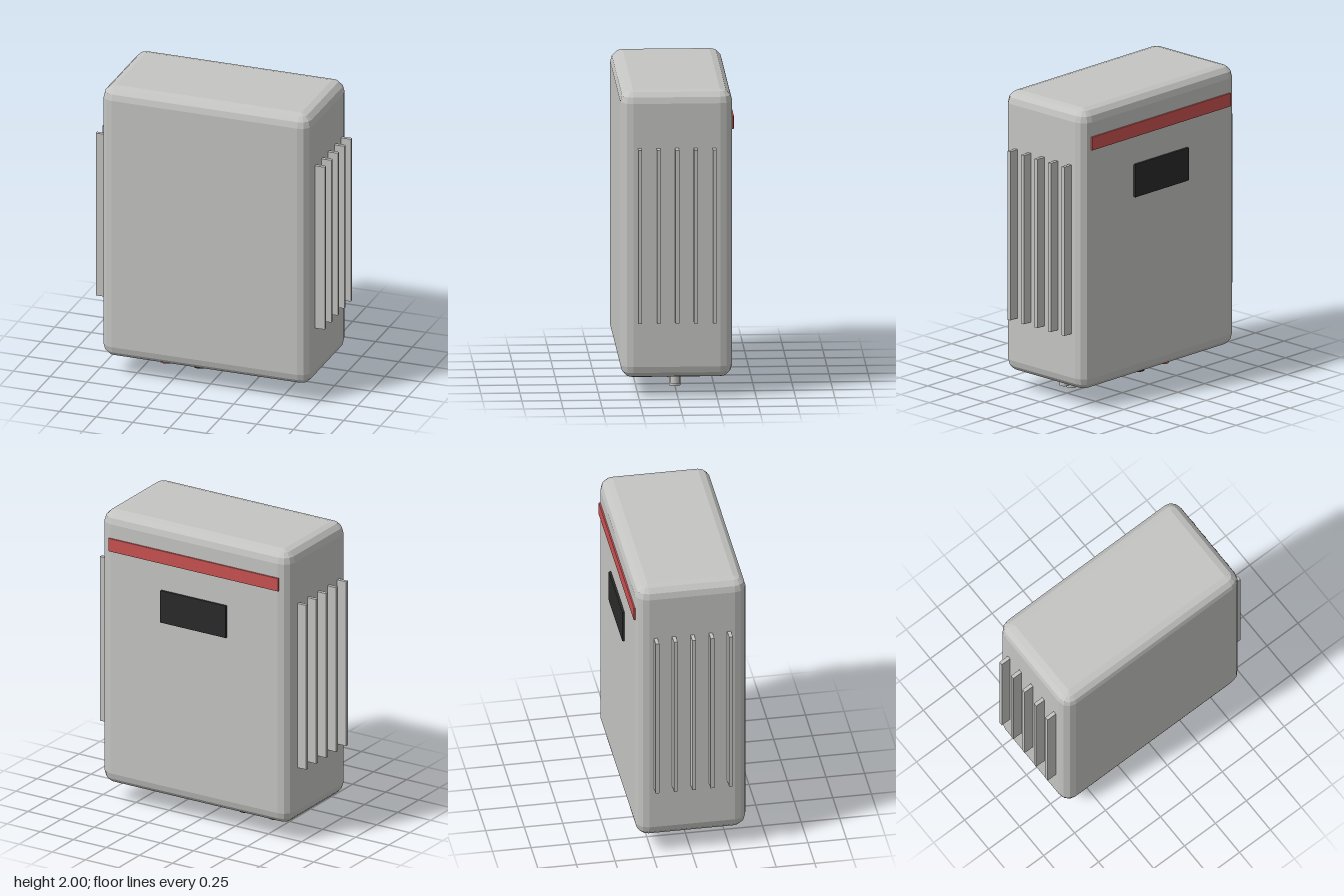
import * as THREE from 'three';
import { ConvexGeometry } from 'three/addons/geometries/ConvexGeometry.js';

// Box with every edge rounded in a few flat facets
function facetedBox(w, h, d, r, steps) {
  const points = [];
  for (const sx of [-1, 1]) for (const sy of [-1, 1]) for (const sz of [-1, 1]) {
    for (let i = 0; i <= steps; i++) {
      const polar = (i / steps) * Math.PI / 2;
      const turns = i === 0 ? 0 : steps;
      for (let j = 0; j <= turns; j++) {
        const a = (j / steps) * Math.PI / 2;
        points.push(new THREE.Vector3(
          sx * (w / 2 - r + r * Math.sin(polar) * Math.cos(a)),
          sy * (h / 2 - r + r * Math.cos(polar)),
          sz * (d / 2 - r + r * Math.sin(polar) * Math.sin(a))));
      }
    }
  }
  return new ConvexGeometry(points);
}

export function createModel() {
  const model = new THREE.Group();
  model.name = 'wallPowerUnit';
  const mat = (name, color) => {
    const m = new THREE.MeshStandardMaterial({ color });
    m.name = name;
    return m;
  };
  const grey = mat('casingGrey', 0xc4c4c2);
  const red = mat('red', 0xc85050);
  const black = mat('black', 0x2a2a2a);

  const add = (name, geometry, material, x, y, z) => {
    const mesh = new THREE.Mesh(geometry, material);
    mesh.name = name;
    mesh.position.set(x, y, z);
    model.add(mesh);
    return mesh;
  };

  // Casing
  const midZ = 0.0075, backZ = -0.35;
  add('casing', facetedBox(1.425, 1.875, 0.715, 0.08, 3), grey, 0, 1.0625, midZ);

  // Cooling fins on both sides
  const fin = new THREE.BoxGeometry(0.085, 1.13, 0.024);
  for (const side of [-1, 1]) {
    for (let i = -2; i <= 2; i++) {
      add(side > 0 ? 'leftFin' : 'rightFin', fin, grey, side * 0.7375, 1.065, midZ + i * 0.119);
    }
  }

  // Stripe and display on the back face, set slightly into it
  add('stripe', facetedBox(1.285, 0.09, 0.018, 0.004, 2), red, 0, 1.78, backZ - 0.001);
  add('display', facetedBox(0.5, 0.222, 0.025, 0.006, 2), black, 0, 1.441, backZ - 0.0025);

  // Connectors under the casing: name, x, radius, lower end, material
  const connectors = [
    ['positiveTerminal', -0.391, 0.043, 0, red],
    ['negativeTerminal', -0.164, 0.043, 0, black],
    ['cableGland', 0.19, 0.037, 0.033, grey],
    ['cableGland', 0.449, 0.037, 0.033, grey],
    ['smallGland', 0.518, 0.031, 0.058, grey],
  ];
  for (const [name, x, r, low, material] of connectors) {
    const top = 0.15;
    add(name, new THREE.CylinderGeometry(r, r, top - low, 20), material, x, (top + low) / 2, midZ);
  }
  return model;
}
